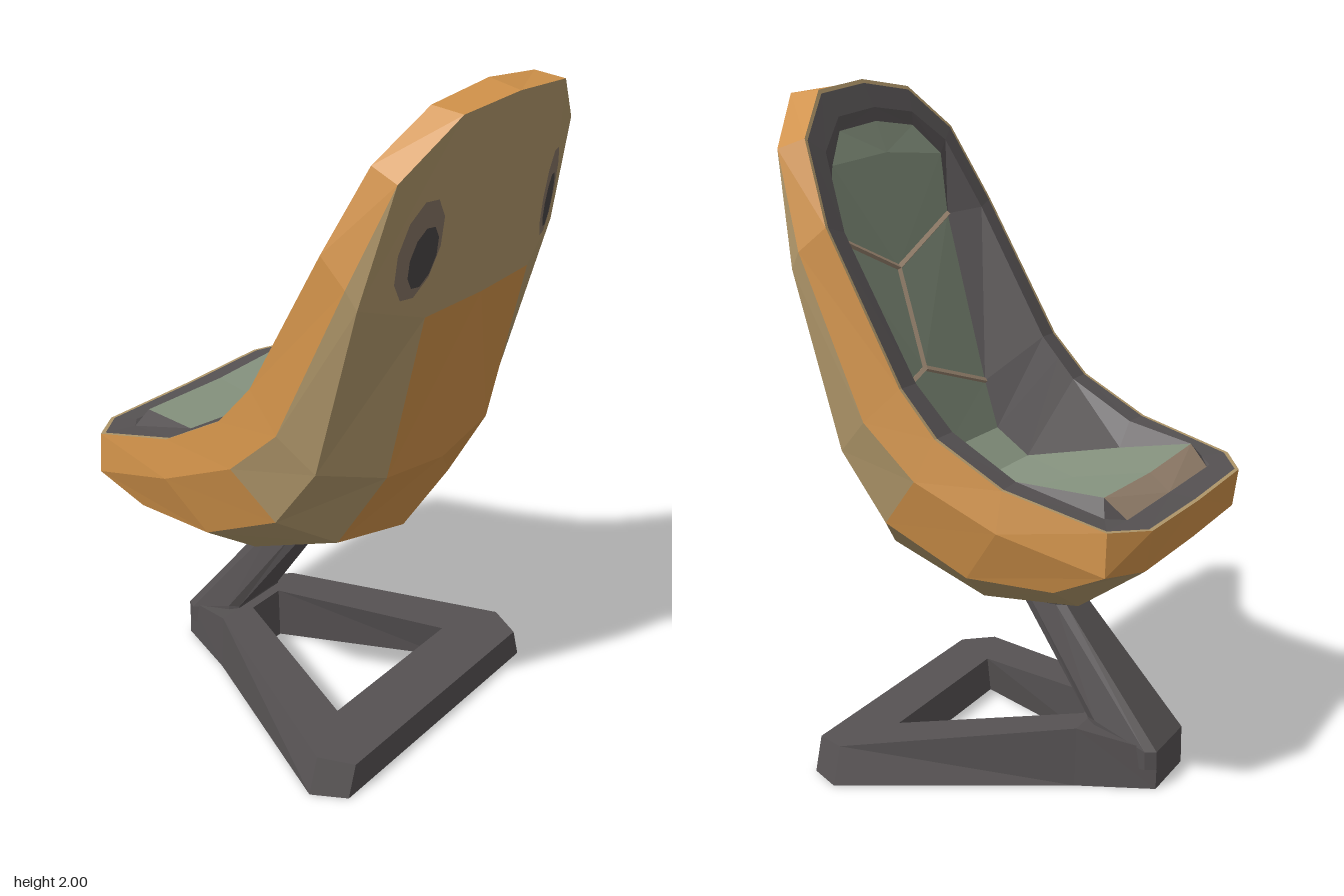
import * as THREE from 'three';

const material = (name, color, side = THREE.FrontSide) => {
  const m = new THREE.MeshStandardMaterial({ color, side, flatShading: true });
  m.name = name;
  return m;
};
const V = (x, y, z) => new THREE.Vector3(x, y, z);

// Faceted panel from quads on the +x half, mirrored to -x
function panel(name, mat, quads) {
  const pos = [];
  const tri = (a, b, c) => {
    if (a.distanceTo(b) < 1e-5 || b.distanceTo(c) < 1e-5 || c.distanceTo(a) < 1e-5) return;
    for (const p of [a, b, c]) pos.push(p.x, p.y, p.z);
    for (const p of [c, b, a]) pos.push(-p.x, p.y, p.z);
  };
  for (const [a, b, c, d] of quads) { tri(a, b, c); tri(a, c, d); }
  const g = new THREE.BufferGeometry();
  g.setAttribute('position', new THREE.Float32BufferAttribute(pos, 3));
  g.computeVertexNormals();
  const mesh = new THREE.Mesh(g, mat);
  mesh.name = name;
  return mesh;
}
const band = (a, b) => a.slice(1).map((_, i) => [a[i], a[i + 1], b[i + 1], b[i]]);

export function createModel() {
  const model = new THREE.Group();
  model.name = 'bucketChair';
  const orange = material('orange shell', 0xcf9149);
  const tan = material('tan shell', 0xb0976a);
  const dark = material('dark trim', 0x565253);
  const green = material('green cushion', 0x86937f);
  const beige = material('beige piping', 0x9c8772);
  const ringMat = material('spot ring', 0x857363);
  const spotMat = material('spot centre', 0x4a4545);

  // Outer shell: stations from the top of the back to the front lip,
  // each running from the centre line to the lower edge of the rim
  const topCorner = V(0.41, 1.82, 0.515), lipCorner = V(0.34, 0.75, -0.57);
  const shell = [
    [V(0, 1.98, 0.595), V(0.24, 1.965, 0.585), topCorner, topCorner],
    [V(0, 1.43, 0.505), V(0.25, 1.43, 0.495), V(0.465, 1.5, 0.44), V(0.475, 1.55, 0.41)],
    [V(0, 0.905, 0.4), V(0.25, 0.935, 0.385), V(0.455, 1.0, 0.3), V(0.495, 1.1, 0.2)],
    [V(0, 0.64, 0.27), V(0.28, 0.695, 0.24), V(0.455, 0.81, 0.16), V(0.5, 0.955, 0.04)],
    [V(0, 0.515, -0.05), V(0.29, 0.58, -0.06), V(0.455, 0.69, -0.095), V(0.5, 0.845, -0.21)],
    [V(0, 0.58, -0.35), V(0.28, 0.595, -0.35), V(0.45, 0.69, -0.355), V(0.465, 0.76, -0.51)],
    [V(0, 0.75, -0.575), V(0.2, 0.75, -0.573), lipCorner, lipCorner],
  ];
  const orangeQuads = [], tanQuads = [];
  for (let i = 0; i < 6; i++) for (let j = 0; j < 3; j++) {
    const isOrange = (j === 0 && i >= 1 && i <= 3) || (j === 2 && (i === 3 || i === 4));
    (isOrange ? orangeQuads : tanQuads).push(
      [shell[i][j], shell[i + 1][j], shell[i + 1][j + 1], shell[i][j + 1]]);
  }
  model.add(panel('shellOrangePanels', orange, orangeQuads));
  model.add(panel('shellTanPanels', tan, tanQuads));

  // Rim loops, top centre round to lip centre
  const rimLow = [shell[0][0], shell[0][1], topCorner,
    ...shell.slice(1, 6).map(s => s[3]), lipCorner, shell[6][0]];
  const rimTop = [V(0, 2, 0.5), V(0.24, 1.975, 0.49), V(0.4, 1.85, 0.43), V(0.465, 1.62, 0.325),
    V(0.475, 1.2, 0.095), V(0.48, 1.075, -0.015), V(0.48, 0.96, -0.217), V(0.455, 0.88, -0.51),
    V(0.336, 0.865, -0.588), V(0, 0.86, -0.59)];
  const rimInner = [V(0, 1.92, 0.46), V(0.2, 1.9, 0.452), V(0.33, 1.81, 0.41), V(0.39, 1.6, 0.315),
    V(0.39, 1.2, 0.095), V(0.385, 1.075, -0.015), V(0.385, 0.96, -0.21), V(0.36, 0.885, -0.46),
    V(0.31, 0.875, -0.505), V(0, 0.87, -0.505)];
  const edging = rimTop.map((p, i) => p.clone().lerp(rimInner[i], 0.14));
  model.add(panel('rimBand', orange, band(rimLow, rimTop)));
  model.add(panel('rimEdging', tan, band(rimTop, edging)));
  model.add(panel('rimTrim', dark, band(edging, rimInner)));

  // Cushion: centre line and side edge, from the top down and forward
  const centre = [V(0, 1.88, 0.455), V(0, 1.79, 0.42), V(0, 1.45, 0.385), V(0, 1.15, 0.3),
    V(0, 0.9, 0.23), V(0, 0.82, 0.12), V(0, 0.875, -0.2), V(0, 0.92, -0.44), V(0, 0.87, -0.5)];
  const edge = [V(0.2, 1.86, 0.45), V(0.3, 1.77, 0.41), V(0.33, 1.58, 0.405), V(0.335, 1.05, 0.275),
    V(0.335, 0.9, 0.23), V(0.335, 0.82, 0.12), V(0.335, 0.885, -0.2), V(0.32, 0.93, -0.44),
    V(0.3, 0.87, -0.5)];
  const cushion = band(edge, centre);
  model.add(panel('cushion', green, cushion.slice(0, 7)));
  model.add(panel('cushionFrontPiping', beige, cushion.slice(7)));

  // Dark wall between rim and cushion
  const wallTop = [...rimInner];
  wallTop.splice(5, 0, rimInner[4].clone().lerp(rimInner[5], 0.5));
  model.add(panel('innerWall', dark, band(wallTop, [centre[0], ...edge, centre[8]])));

  // Backrest seams
  const seam = (a, b) => {
    const d = b.clone().sub(a);
    const mesh = new THREE.Mesh(new THREE.CylinderGeometry(0.01, 0.01, d.length(), 4), beige);
    mesh.name = 'backrestSeam';
    mesh.position.copy(a).lerp(b, 0.5);
    mesh.quaternion.setFromUnitVectors(V(0, 1, 0), d.normalize());
    model.add(mesh);
  };
  seam(centre[2], centre[3]);
  for (const s of [1, -1]) for (const i of [2, 3])
    seam(centre[i], V(s * edge[i].x, edge[i].y, edge[i].z));

  // Oval spots laid on the sloping back
  const spot = (name, mat, side, cx, cy, rx, ry, lift) => {
    const g = new THREE.CircleGeometry(1, 10);
    const p = g.attributes.position;
    for (let i = 0; i < p.count; i++) {
      const y = cy + p.getY(i) * ry;
      const x = cx + p.getX(i) * rx - (y - cy) * 0.12;
      p.setXYZ(i, side * x, y, 0.585 - 0.3 * (x - 0.24) + 0.161 * (y - 1.965) + lift);
    }
    if (side < 0) g.index.array.reverse();
    g.computeVertexNormals();
    const mesh = new THREE.Mesh(g, mat);
    mesh.name = name;
    model.add(mesh);
  };
  for (const s of [1, -1]) {
    spot('spotRing', ringMat, s, 0.312, 1.63, 0.064, 0.135, 0.006);
    spot('spotCentre', spotMat, s, 0.302, 1.61, 0.04, 0.083, 0.011);
  }

  // Triangular base frame: extruded outline with a hole, top raised and drawn in
  const half = [[0.46, -0.42], [0.515, -0.32], [0.19, 0.3], [0.1, 0.52]];
  const both = h => [...h, ...h.map(([x, y]) => [-x, y]).reverse()].map(p => new THREE.Vector2(...p));
  const outline = new THREE.Shape(both(half));
  outline.holes.push(new THREE.Path(both([[0.3, -0.24], [0.07, 0.27]])));
  const baseGeo = new THREE.ExtrudeGeometry(outline, { depth: 1, bevelEnabled: false });
  baseGeo.rotateX(-Math.PI / 2);
  const bp = baseGeo.attributes.position;
  for (let i = 0; i < bp.count; i++) {
    const z = bp.getZ(i);
    if (bp.getY(i) < 0.5) continue;
    bp.setX(i, bp.getX(i) * 0.93);
    bp.setY(i, z < -0.4 ? 0.115 : 0.1 + 0.105 * (0.41 - z));
  }
  baseGeo.computeVertexNormals();
  const base = new THREE.Mesh(baseGeo, dark);
  base.name = 'baseFrame';
  model.add(base);

  // Slanted post, half sections from front centre to rear centre, bottom to top
  const section = (w, yf, zf, yr, zr) => [V(0, yf, zf), V(w * 0.85, yf, zf), V(w, yf, zf - 0.03),
    V(w, yr, zr + 0.03), V(w * 0.85, yr, zr), V(0, yr, zr)];
  const post = [
    section(0.115, 0.06, -0.3, 0.06, -0.52),
    section(0.115, 0.18, -0.3, 0.115, -0.52),
    section(0.07, 0.5, -0.07, 0.5, -0.21),
    section(0.1, 0.56, -0.04, 0.56, -0.24),
  ];
  const postQuads = [];
  for (let k = 0; k < 3; k++) postQuads.push(...band(post[k], post[k + 1]));
  model.add(panel('post', dark, postQuads));

  return model;
}
